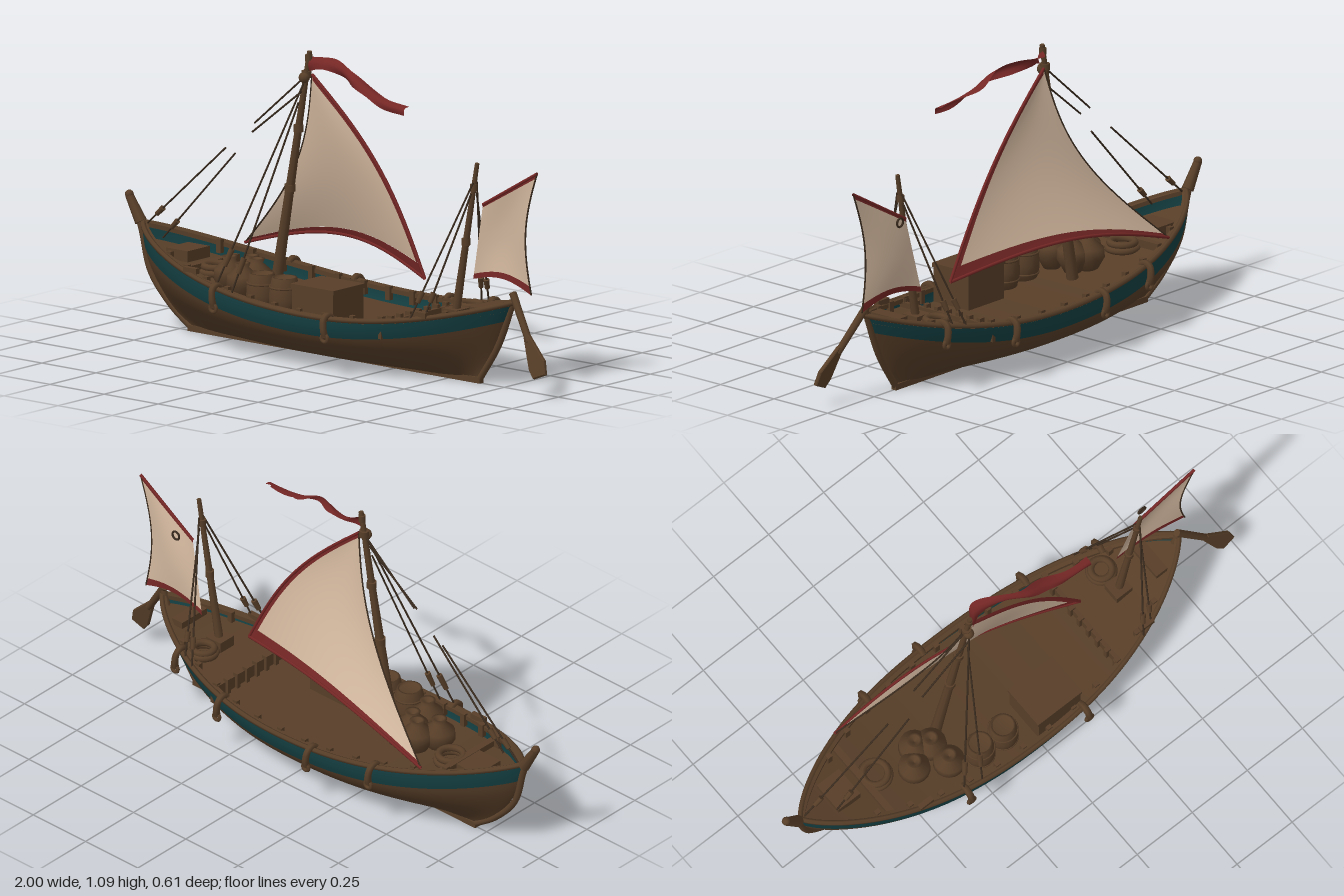
import * as THREE from 'three';

const mat = (name, color, side = THREE.FrontSide) =>
  Object.assign(new THREE.MeshStandardMaterial({ color, side }), { name });
const D = THREE.DoubleSide;
const wood = mat('wood', 0x573e28, D), teal = mat('teal paint', 0x143f42, D);
const cloth = mat('sailcloth', 0xd2b79e, D), red = mat('red cloth', 0x752725, D);
const rope = mat('dark rope', 0x3a2b1e);

const V = (x, y, z) => new THREE.Vector3(x, y, z);
const { lerp } = THREE.MathUtils;

export function createModel() {
  const boat = new THREE.Group();
  boat.name = 'sailingBoat';

  const add = (name, geo, m, x = 0, y = 0, z = 0) => {
    const mesh = new THREE.Mesh(geo, m);
    mesh.name = name;
    mesh.position.set(x, y, z);
    boat.add(mesh);
    return mesh;
  };
  // Smooth surface from a rule f(s, v) -> point
  const patch = (name, f, m, ns = 24, nv = 12) => {
    const pos = [], idx = [];
    for (let j = 0; j <= nv; j++) for (let i = 0; i <= ns; i++) {
      pos.push(...f(i / ns, j / nv).toArray());
      if (i < ns && j < nv) {
        const a = j * (ns + 1) + i, b = a + ns + 1;
        idx.push(a, a + 1, b, a + 1, b + 1, b);
      }
    }
    const g = new THREE.BufferGeometry();
    g.setAttribute('position', new THREE.Float32BufferAttribute(pos, 3));
    g.setIndex(idx);
    g.computeVertexNormals();
    return add(name, g, m);
  };
  const tube = (name, pts, r, m, n = 40, sides = 6) =>
    add(name, new THREE.TubeGeometry(new THREE.CatmullRomCurve3(pts), n, r, sides), m);
  const strut = (name, a, b, r0, r1, m) => {
    const d = b.clone().sub(a);
    const mesh = add(name, new THREE.CylinderGeometry(r1, r0, d.length(), 8), m);
    mesh.position.copy(a).addScaledVector(d, 0.5);
    mesh.quaternion.setFromUnitVectors(V(0, 1, 0), d.normalize());
    return mesh;
  };
  const box = (name, w, h, d, x, y, z, m = wood) => add(name, new THREE.BoxGeometry(w, h, d), m, x, y, z);

  // Hull lines
  const sheer = x => 0.205 + (x < 0.1 ? 0.15 : 0.22) * (x - 0.1) ** 2;
  const beam = x => 0.272 * Math.max(0, 1 - Math.abs((x + 0.06) / 0.86) ** 2.3) ** 0.8;
  const spread = s => 0.5 - 0.5 * Math.cos(Math.PI * s);
  const topX = u => lerp(-0.92, 0.8, u);
  const hullPoint = (s, t, side, inset = 0) => {
    const u = spread(s), xt = topX(u);
    const x = lerp(-0.7 - 0.22 * Math.sin(t * Math.PI / 2) ** 0.8, 0.63 + 0.17 * t ** 0.9, u);
    const q = 0.67 + 0.5 * Math.abs(2 * u - 1) ** 3;
    const f = Math.max(0, 1 - (1 - t) ** 2.5) ** q;
    return V(x, lerp(0.006, sheer(xt), t), side * Math.max(0, beam(xt) * f - inset));
  };
  const bandStart = s => 1 - 0.073 / sheer(topX(spread(s)));

  for (const side of [1, -1]) {
    patch('hullSide', (s, v) => hullPoint(s, v * bandStart(s), side), wood, 48, 16);
    patch('paintedStrake', (s, v) => hullPoint(s, lerp(bandStart(s), 1, v), side), teal, 48, 4);
    patch('bulwarkLining', (s, v) => hullPoint(s, lerp(bandStart(s), 1, v), side, 0.01), teal, 48, 4);
    // Rounded rail with a flat cap reaching inboard
    tube('rail', Array.from({ length: 33 }, (_, i) => hullPoint(i / 32, 1, side, 0.003)), 0.01, wood, 64);
    for (const dy of [0.006, -0.01]) patch('railCap', (s, v) => hullPoint(s, 1, side, v * 0.026).add(V(0, dy, 0)), wood, 48, 1);
    patch('railInnerEdge', (s, v) => hullPoint(s, 1, side, 0.026).add(V(0, lerp(-0.01, 0.006, v), 0)), wood, 48, 1);
    // Timber heads along the inside of the rail
    for (let i = 0; i < 12; i++) {
      const x = -0.68 + i * 0.115;
      box('timberHead', 0.02, 0.05, 0.018, x, sheer(x) - 0.01, side * (beam(x) - 0.028));
    }
  }

  // Decks
  const deckAt = (x0, x1, drop) => (s, v) => {
    const x = lerp(x0, x1, s);
    return V(x, sheer(x) - drop, lerp(1, -1, v) * Math.max(0, beam(x) * 0.97 - 0.006));
  };
  patch('mainDeck', deckAt(-0.9, 0.36, 0.05), wood, 32, 4);
  patch('aftDeck', deckAt(0.36, 0.78, 0.025), wood, 20, 4);
  box('bulkhead', 0.015, 0.06, 0.44, 0.36, 0.185, 0);
  for (let i = 0; i < 9; i++) box('bulkheadPost', 0.022, 0.065, 0.016, 0.352, 0.195, -0.2 + i * 0.05);
  box('foredeckBeam', 0.025, 0.03, 0.34, -0.63, 0.245, 0);

  // Backbone: stem, keel and sternpost
  tube('stem', [V(-0.99, 0.455, 0), V(-0.955, 0.41, 0), V(-0.925, 0.33, 0), V(-0.885, 0.19, 0),
    V(-0.79, 0.08, 0), V(-0.695, 0.011, 0)], 0.012, wood, 40, 8);
  box('keel', 1.35, 0.022, 0.022, -0.03, 0.011, 0);
  tube('sternpost', [V(0.635, 0.011, 0), V(0.725, 0.15, 0), V(0.797, 0.33, 0)], 0.012, wood, 20, 8);
  strut('stemHead', V(-0.93, 0.36, 0), V(-0.985, 0.45, 0), 0.022, 0.015, wood);
  add('stemTip', new THREE.SphereGeometry(0.016, 10, 8), wood, -0.984, 0.452, 0);

  // Masts
  strut('mainMast', V(-0.32, 0.14, 0), V(-0.15, 1.085, 0), 0.022, 0.009, wood);
  strut('mizzenMast', V(0.52, 0.2, 0), V(0.625, 0.79, 0), 0.016, 0.008, wood);
  for (const [x, y, r] of [[-0.165, 1.0, 0.018], [-0.154, 1.06, 0.013], [-0.201, 0.8, 0.018],
    [-0.241, 0.58, 0.02], [0.609, 0.7, 0.014], [0.573, 0.5, 0.016]])
    add('mastBand', new THREE.CylinderGeometry(r, r, 0.025, 10), wood, x, y, 0);
  add('mastheadBlock', new THREE.SphereGeometry(0.02, 10, 8), wood, -0.165, 0.99, 0.012);

  // Main sail
  const tack = V(-0.61, 0.3, -0.19), clew = V(0.365, 0.335, -0.02), head = V(-0.148, 1.0, -0.01);
  const mainSail = (s, v) => {
    const k = Math.sin(Math.PI * v), c = Math.sin(Math.PI * s);
    const l = tack.clone().lerp(head, v).add(V(0.1 * k, 0, 0.022 * k));
    const r = clew.clone().lerp(head, v).add(V(0.04 * k, 0.035 * k, -0.01 * k));
    return l.lerp(r, s).add(V(0, 0.085 * c * (1 - v) ** 2, c * (0.02 * k - 0.05 * (1 - v) ** 2)));
  };
  const leech = v => Math.max(0, 1 - 0.024 / (0.97 * (1 - v) + 0.001));
  const foot = s => 0.025 + 0.035 * s;
  patch('mainSail', (s, v) => { const q = lerp(foot(s), 1, v); return mainSail(s * leech(q), q); }, cloth, 28, 28);
  patch('mainSailFootBorder', (s, v) => mainSail(s, v * foot(s)), red, 28, 3);
  patch('mainSailLeechBorder', (s, v) => {
    const q = lerp(0.06, 1, v);
    return mainSail(lerp(leech(q), 1, s), q);
  }, red, 3, 28);
  const edge = (f, n = 16) => Array.from({ length: n + 1 }, (_, i) => f(i / n));
  tube('mainSailLeechRope', edge(v => mainSail(1, v)), 0.006, red);
  tube('mainSailFootRope', edge(s => mainSail(s, 0)), 0.006, red);
  tube('mainSailLuffRope', edge(v => mainSail(0, v)), 0.003, rope);

  // Mizzen sail
  const mizzenSail = (s, v) => {
    const k = Math.sin(Math.PI * v), c = Math.sin(Math.PI * s);
    const l = V(0.56, 0.355, -0.055).lerp(V(0.622, 0.635, -0.035), v);
    const r = V(0.85, 0.34, -0.03).lerp(V(0.885, 0.785, -0.02), v).add(V(-0.04 * k, 0, 0));
    return l.lerp(r, s).add(V(0, (v < 0.5 ? 0.03 : 0) * c * (1 - 2 * v), -0.015 * c * k));
  };
  patch('mizzenSail', (s, v) => mizzenSail(s, lerp(0.07, 0.96, v)), cloth, 16, 20);
  patch('mizzenSailFootBorder', (s, v) => mizzenSail(s, 0.07 * v), red, 16, 2);
  patch('mizzenSailHeadBorder', (s, v) => mizzenSail(s, lerp(0.96, 1, v)), red, 16, 2);
  tube('mizzenSailHeadRope', edge(s => mizzenSail(s, 1)), 0.006, red);
  tube('mizzenSailLeechRope', edge(v => mizzenSail(1, v)), 0.003, rope);
  add('sheetRing', new THREE.TorusGeometry(0.016, 0.004, 6, 14), rope, 0.68, 0.64, -0.06);

  // Pennant: a curved ribbon that twists gently towards its tip
  const wave = new THREE.CatmullRomCurve3([V(-0.145, 1.04, 0), V(-0.1, 1.042, -0.03), V(0, 1.037, -0.005),
    V(0.08, 1.017, 0.03), V(0.16, 0.982, 0.035), V(0.24, 0.957, 0.05), V(0.345, 0.947, 0.055)]);
  patch('pennant', (s, v) => {
    const h = (v - 0.5) * lerp(0.05, 0.035, s), a = lerp(0.2, 0.9, s) + 0.45 * Math.sin(s * 12);
    const fold = 0.014 * Math.sin(Math.PI * v);
    return wave.getPoint(s).add(V(0, h * Math.cos(a) + fold * Math.sin(a), fold * Math.cos(a) - h * 1.3 * Math.sin(a)));
  }, red, 40, 6);

  // Standing rigging: broken forestays and shrouds with their blocks
  const line = (a, b, r = 0.0035) => strut('stay', a, b, r, r, rope);
  const tackle = (a, b) => {
    line(a, b);
    const p = a.clone().lerp(b, 0.8), q = a.clone().lerp(b, 0.88);
    strut('riggingBlock', p, q, 0.011, 0.009, wood);
  };
  line(V(-0.16, 1.0, 0), V(-0.405, 0.79, 0));
  line(V(-0.17, 0.94, 0.02), V(-0.39, 0.765, 0.03));
  tackle(V(-0.53, 0.685, 0.01), V(-0.9, 0.36, 0));
  tackle(V(-0.46, 0.68, 0.04), V(-0.79, 0.33, 0.045));
  tackle(V(-0.165, 0.97, 0.015), V(-0.38, 0.23, 0.25));
  tackle(V(-0.18, 0.9, 0.025), V(-0.3, 0.22, 0.255));
  for (const side of [1, -1]) {
    tackle(V(0.615, 0.72, side * 0.01), V(0.48, 0.24, side * 0.195));
    tackle(V(0.61, 0.68, side * 0.015), V(0.53, 0.25, side * 0.175));
  }

  // Fenders slung over the rail
  for (const [x, side] of [[-0.37, 1], [0.155, 1], [-0.43, -1], [-0.16, -1], [0.29, -1], [0.565, -1]]) {
    const y = sheer(x), b = beam(x);
    tube('fender', [V(x, y, side * (b - 0.025)), V(x, y + 0.012, side * (b - 0.002)), V(x, y, side * (b + 0.02)),
      V(x + 0.004, y - 0.035, side * (b + 0.026)), V(x + 0.006, y - 0.06, side * (b + 0.02))], 0.013, wood, 16);
    add('fenderLoop', new THREE.TorusGeometry(0.014, 0.007, 6, 12), wood, x + 0.006, y - 0.065, side * (b + 0.022));
  }
  for (const x of [-0.52, 0.51]) box('cleat', 0.06, 0.02, 0.02, x, sheer(x) + 0.015, beam(x) - 0.01);

  // Cargo: chest, barrels, jars, hatch and rope coils
  box('chest', 0.19, 0.13, 0.165, 0.065, 0.225, 0.155);
  box('chestLid', 0.2, 0.015, 0.17, 0.065, 0.296, 0.155);
  const lathe = (name, pts, x, y, z) =>
    add(name, new THREE.LatheGeometry(pts.map(p => new THREE.Vector2(...p)), 18), wood, x, y, z);
  const barrel = [[0, 0], [0.044, 0], [0.055, 0.05], [0.056, 0.07], [0.054, 0.1], [0.045, 0.145], [0.038, 0.145], [0.038, 0.135], [0, 0.135]];
  for (const x of [-0.235, -0.13]) {
    lathe('barrel', barrel, x, 0.155, 0.16);
    for (const h of [0.035, 0.11])
      add('barrelHoop', new THREE.TorusGeometry(0.052, 0.004, 6, 20), wood, x, 0.155 + h, 0.16).rotation.x = Math.PI / 2;
  }
  const jar = [[0, 0], [0.03, 0], [0.058, 0.05], [0.055, 0.085], [0.022, 0.115], [0.028, 0.13], [0.018, 0.13], [0, 0.11]];
  for (const [x, z] of [[-0.46, 0.07], [-0.35, 0.13], [-0.36, 0.04], [-0.41, 0.01]]) lathe('jar', jar, x, 0.185, z);
  box('foreHatch', 0.1, 0.04, 0.12, -0.73, 0.275, -0.02);
  for (const [x, z, r, y] of [[-0.58, 0, 0.052, 0.23], [-0.58, 0, 0.045, 0.25], [0.52, -0.09, 0.045, 0.235], [0.52, -0.09, 0.038, 0.25]])
    add('ropeCoil', new THREE.TorusGeometry(r, 0.013, 8, 20), wood, x, y, z).rotation.x = Math.PI / 2;
  box('mizzenStep', 0.07, 0.04, 0.07, 0.525, 0.235, 0);
  box('sternBench', 0.05, 0.025, 0.13, 0.67, 0.275, 0);

  // Steering oar
  strut('oarShaft', V(0.79, 0.345, 0.0), V(0.9, 0.19, 0.04), 0.014, 0.013, wood);
  const bladeShape = new THREE.Shape([[-0.011, 0], [0.011, 0], [0.036, -0.11], [0.022, -0.155], [-0.03, -0.145], [-0.034, -0.11]]
    .map(p => new THREE.Vector2(...p)));
  const blade = add('oarBlade', new THREE.ExtrudeGeometry(bladeShape,
    { depth: 0.01, bevelEnabled: true, bevelSize: 0.003, bevelThickness: 0.003, bevelSegments: 1 }), wood, 0.89, 0.205, 0.033);
  blade.rotation.set(-0.2, 0, 0.58);

  return boat;
}
